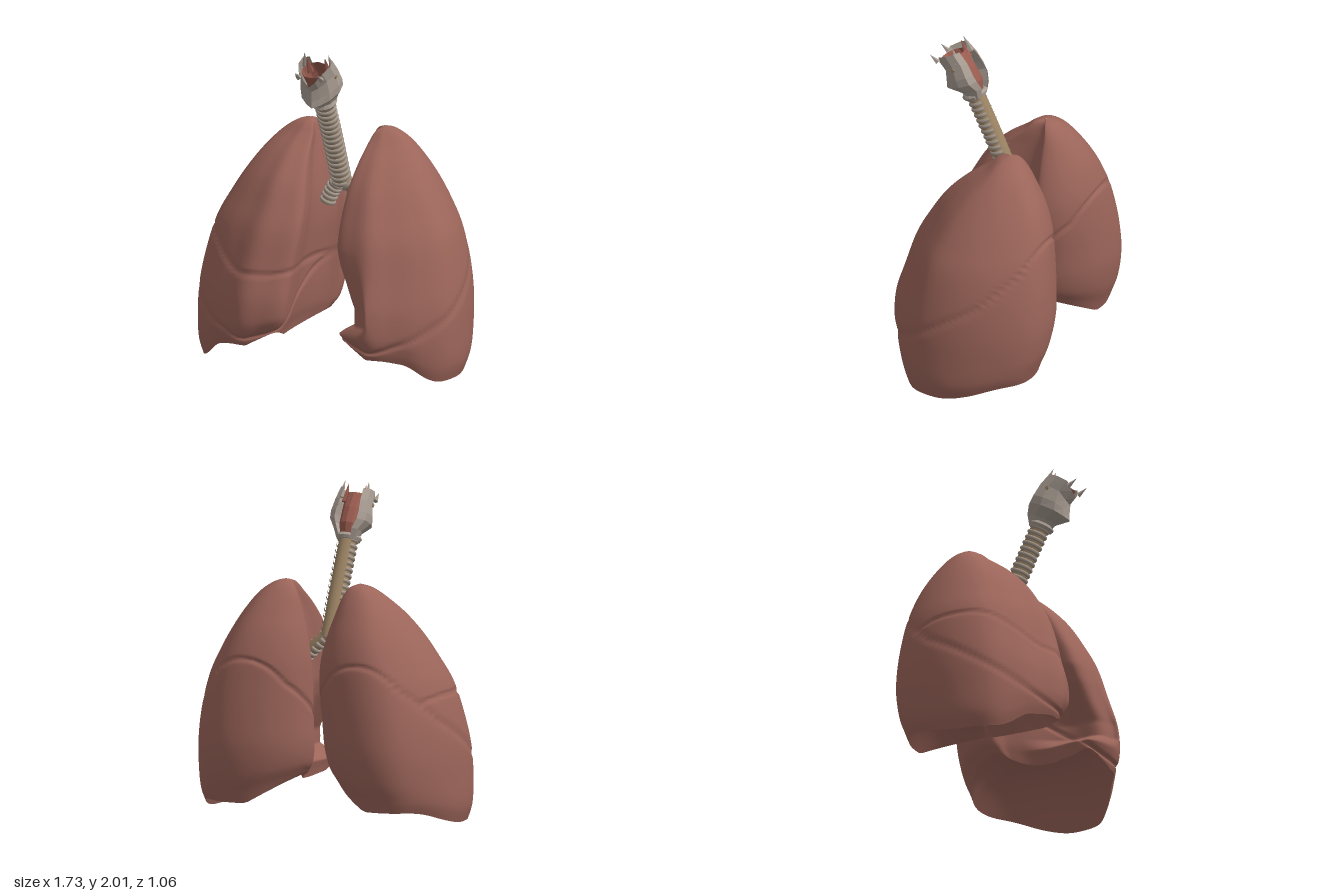
import * as THREE from 'three';

const mat = (name, color, extra = {}) => Object.assign(new THREE.MeshStandardMaterial({ color, ...extra }), { name });
const clamp = (v) => Math.min(1, Math.max(0, v));
const smooth = (v) => { const c = clamp(v); return c * c * (3 - 2 * c); };

// piecewise linear lookup in [[key, value], ...]
function lookup(table, k) {
  let i = 0;
  while (i < table.length - 2 && k > table[i + 1][0]) i++;
  const [a, b] = [table[i], table[i + 1]];
  return a[1] + (b[1] - a[1]) * clamp((k - a[0]) / (b[0] - a[0]));
}

// smooth interpolation through rows of numbers, t from 0 to 1
function rowAt(rows, t) {
  const n = rows.length - 1, f = t * n, i = Math.min(n - 1, Math.floor(f)), u = f - i;
  const [p, a, b, q] = [i - 1, i, i + 1, i + 2].map((k) => rows[Math.min(n, Math.max(0, k))]);
  return a.map((_, k) => a[k] + 0.5 * u * (b[k] - p[k] + u * (2 * p[k] - 5 * a[k] + 4 * b[k] - q[k]
    + u * (3 * (a[k] - b[k]) + q[k] - p[k]))));
}

// skin over a list of equally long rings
function loft(rings, closed, flip) {
  const n = rings[0].length, index = [];
  for (let j = 0; j < rings.length - 1; j++) {
    for (let i = 0; i < (closed ? n : n - 1); i++) {
      const a = j * n + i, b = j * n + (i + 1) % n, c = b + n, d = a + n;
      index.push(...(flip ? [a, b, c, a, c, d] : [a, c, b, a, d, c]));
    }
  }
  const g = new THREE.BufferGeometry();
  g.setAttribute('position', new THREE.Float32BufferAttribute(rings.flat(2), 3));
  g.setIndex(index);
  g.computeVertexNormals();
  return g;
}

// lung levels: y, inner x, outer x, back z, front z
const LEVELS = [
  [0, 0.12, 0.83, -0.44, 0.485], [0.1, 0.1, 0.86, -0.465, 0.505], [0.25, 0.07, 0.866, -0.505, 0.53],
  [0.45, 0.05, 0.86, -0.53, 0.52], [0.65, 0.05, 0.83, -0.525, 0.465], [0.85, 0.05, 0.775, -0.505, 0.405],
  [1.0, 0.06, 0.7, -0.48, 0.33], [1.15, 0.085, 0.61, -0.43, 0.235], [1.28, 0.12, 0.515, -0.36, 0.11],
  [1.38, 0.155, 0.42, -0.29, -0.02], [1.44, 0.195, 0.33, -0.23, -0.09], [1.463, 0.25, 0.255, -0.165, -0.16],
];
// cross-section outline: inner back, around the ribs, front edge, hollow inner face
const OUTLINE = new THREE.CatmullRomCurve3([
  [0, 0.33], [0.06, 0.18], [0.25, 0.05], [0.55, 0], [0.75, 0.06], [0.93, 0.27], [1, 0.5], [0.96, 0.7], [0.8, 0.84],
  [0.62, 0.93], [0.45, 1], [0.3, 0.98], [0.14, 0.92], [0.14, 0.8], [0.17, 0.65], [0.15, 0.5], [0.08, 0.4],
].map(([u, v]) => new THREE.Vector3(u, v, 0)), true).getPoints(120).slice(0, 120);
const OBLIQUE = [[-0.55, 1.08], [-0.48, 1], [-0.4, 0.85], [-0.2, 0.66], [0, 0.54], [0.3, 0.35], [0.5, 0.21], [0.6, 0.1]];
const NOTCH = [[0.29, 0], [0.36, 0.17], [0.46, 0.18], [0.6, 0.1], [0.7, 0.04], [0.8, 0]];

// height of the lower rim
const rimHeight = (x, z) => 0.1 + 0.18 * clamp((0.4 - x) / 0.3)
  - 0.1 * smooth((x - 0.6) / 0.2) * smooth(1.2 - Math.abs(z - 0.17) / 0.5) + 0.06 * smooth((z - 0.3) / 0.2);

function lung(side, name, material) {
  const isLeft = side > 0, rings = [], steps = 132;
  for (let j = 0; j <= steps; j++) {
    const [y0, xi0, xo, zb, zf] = rowAt(LEVELS, j / steps);
    const xi = isLeft ? xi0 : xi0 - 0.035 * Math.exp(-(((y0 - 0.9) / 0.3) ** 2));
    const cx = (xi + xo) / 2, cz = (zb + zf) / 2;
    rings.push(OUTLINE.map(({ x: u, y: v }) => {
      let x = xi + u * (xo - xi), z = zb + v * (zf - zb);
      const y = y0 + rimHeight(x, z) * clamp(1 - y0 / 0.6) ** 2;
      // hollow for the heart in the left lung
      if (isLeft) x += lookup(NOTCH, y) * (xo - xi) * smooth((v - 0.45) / 0.35) * smooth((0.5 - u) / 0.3);
      // grooves between the lobes
      const oblique = lookup(OBLIQUE, z);
      let gap = Math.abs(y - oblique) * 0.8;
      const level = 0.61 + 0.2 * smooth((x - 0.45) / 0.38) + 0.04 * clamp((0.25 - x) / 0.2);
      if (!isLeft && level > oblique) gap = Math.min(gap, Math.abs(y - level));
      const len = Math.hypot(cx - x, cz - z) + 1e-4, cut = 0.015 * Math.exp(-((gap / 0.012) ** 2));
      x += ((cx - x) / len) * Math.min(cut, len);
      z += ((cz - z) / len) * Math.min(cut, len);
      return [side * x, y, z];
    }));
  }
  // hollow underside rising to a dome
  const centre = [side * 0.46, 0.4, -0.02], under = [];
  for (let j = 0; j <= 14; j++) {
    const r = j / 14;
    under.push(rings[0].map((p) => [
      centre[0] + r * (p[0] - centre[0]),
      centre[1] + r ** 2.4 * (p[1] - centre[1]),
      centre[2] + r * (p[2] - centre[2]),
    ]));
  }
  const g = new THREE.Group();
  g.name = name;
  const body = new THREE.Mesh(loft(rings, true, !isLeft), material);
  const base = new THREE.Mesh(loft(under, true, !isLeft), material);
  body.name = 'lungBody';
  base.name = 'lungBase';
  g.add(body, base);
  return g;
}

// airway with C-shaped cartilage rings, points listed from bottom to top
function airway(name, points, radius, count, tubeMat, ringMat) {
  const g = new THREE.Group();
  g.name = name;
  const curve = new THREE.CatmullRomCurve3(points.map((p) => new THREE.Vector3(...p)));
  const tube = new THREE.Mesh(new THREE.TubeGeometry(curve, 24, radius, 20), tubeMat);
  tube.name = 'airwayWall';
  g.add(tube);
  const ringGeo = new THREE.TorusGeometry(radius, 0.011, 8, 24, Math.PI * 1.5).rotateZ(Math.PI * 0.75);
  for (let i = 0; i < count; i++) {
    const t = (i + 0.5) / count, ring = new THREE.Mesh(ringGeo, ringMat);
    ring.name = 'cartilageRing';
    ring.position.copy(curve.getPointAt(t));
    ring.quaternion.setFromUnitVectors(new THREE.Vector3(0, 0, 1), curve.getTangentAt(t));
    ring.scale.z = 1.15;
    g.add(ring);
  }
  return g;
}

function larynx(cartilage, lining, wall) {
  const g = new THREE.Group();
  g.name = 'larynx';
  const add = (name, geo, m, x = 0, y = 0, z = 0) => {
    const mesh = new THREE.Mesh(geo, m);
    mesh.name = name;
    mesh.position.set(x, y, z);
    g.add(mesh);
    return mesh;
  };
  // shield rows: height, half width, back, front
  const rows = [[0, 0.062, -0.06, 0.062], [0.06, 0.085, -0.095, 0.09], [0.12, 0.125, -0.1, 0.17],
    [0.17, 0.128, -0.095, 0.15], [0.25, 0.115, -0.085, 0.125], [0.33, 0.105, -0.06, 0.145]];
  const shape = [[-0.6, 0], [-0.95, 0.12], [-1, 0.4], [-0.75, 0.72], [-0.35, 0.9], [0, 1],
    [0.35, 0.9], [0.75, 0.72], [1, 0.4], [0.95, 0.12], [0.6, 0]];
  const shell = rows.map(([v, w, b, f], j) => shape.map(([x, d]) => [
    x * w, v - 0.075 * (j / 5) ** 2 * smooth(1 - Math.abs(x) / 0.9) * (d > 0.5 ? 1 : 0.3), b + d * (f - b)]));
  add('thyroidCartilage', loft(shell, false, true), cartilage);
  // soft inner lining, seen from above and behind
  const inner = [[0, 0.05, -0.05, 0.05], [0.1, 0.07, -0.085, 0.08], [0.2, 0.072, -0.075, 0.09], [0.3, 0.08, -0.045, 0.11]];
  add('lining', loft(inner.map(([v, w, b, f]) => Array.from({ length: 12 }, (_, i) => {
    const a = (i / 12) * Math.PI * 2;
    return [Math.sin(a) * w, v, (b + f) / 2 + (Math.cos(a) * (f - b)) / 2];
  })), true, true), lining);
  add('vocalFold', new THREE.CylinderGeometry(0.06, 0.055, 0.02, 10), lining, 0, 0.14, 0);
  // ring cartilage at the base
  add('cricoidRing', new THREE.TorusGeometry(0.062, 0.02, 6, 16).rotateX(Math.PI / 2), cartilage, 0, 0.02, 0);
  // horns, front tips and small side openings
  for (const s of [-1, 1]) {
    add('upperHorn', new THREE.ConeGeometry(0.022, 0.11, 5), cartilage, s * 0.085, 0.32, -0.035).rotation.z = s * 0.1;
    add('frontTip', new THREE.ConeGeometry(0.018, 0.07, 5), cartilage, s * 0.075, 0.325, 0.125).rotation.x = 0.5;
    add('liningFold', new THREE.ConeGeometry(0.025, 0.12, 5), lining, s * 0.06, 0.3, -0.02);
    add('sideOpening', new THREE.CylinderGeometry(0.012, 0.012, 0.008, 8).rotateZ(Math.PI / 2), wall, s * 0.119, 0.235, 0.0);
  }
  g.position.set(0, 1.66, 0.19);
  g.rotation.x = 0.44;
  return g;
}

export function createModel() {
  const model = new THREE.Group();
  model.name = 'lungsAndAirway';
  const tissue = mat('lungTissue', 0x9c655a);
  const wall = mat('airwayWall', 0x9c8464);
  const ring = mat('ringCartilage', 0xa3968a);
  const cartilage = mat('larynxCartilage', 0xa89c92, { flatShading: true, side: THREE.DoubleSide });
  const lining = mat('larynxLining', 0x9a5c50, { flatShading: true, side: THREE.DoubleSide });

  model.add(lung(1, 'leftLung', tissue), lung(-1, 'rightLung', tissue));
  model.add(airway('trachea', [[0, 1.1, -0.07], [0, 1.4, 0.062], [0, 1.68, 0.195]], 0.055, 17, wall, ring));
  model.add(airway('leftBronchus', [[0.17, 0.97, -0.07], [0.09, 1.05, -0.07], [0.005, 1.13, -0.06]], 0.04, 6, wall, ring));
  model.add(airway('rightBronchus', [[-0.1, 0.96, -0.07], [-0.06, 1.05, -0.07], [-0.005, 1.13, -0.06]], 0.042, 6, wall, ring));
  model.add(larynx(cartilage, lining, wall));
  return model;
}
